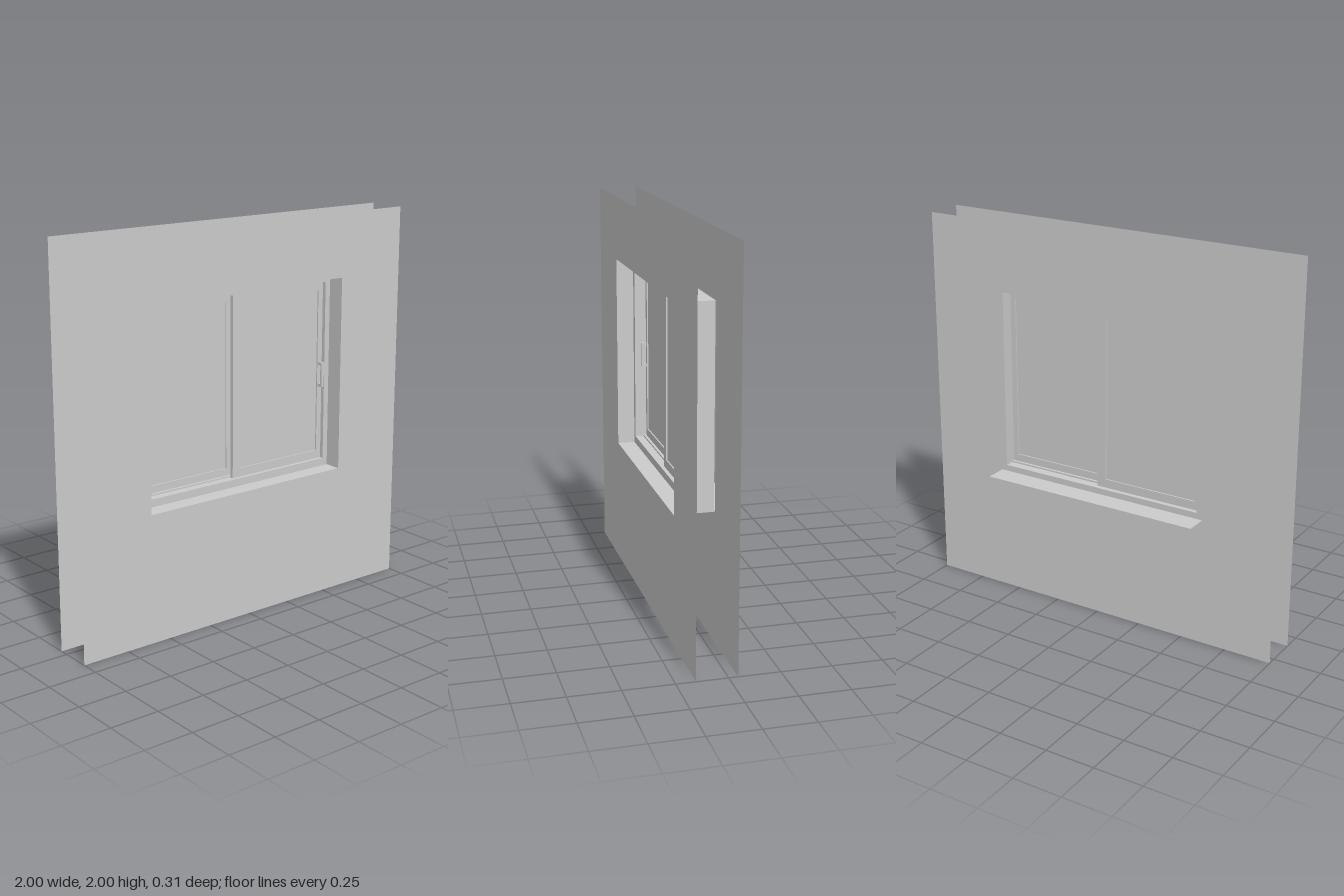
import * as THREE from 'three';

const grey = new THREE.MeshStandardMaterial({ color: 0xcccccc });
const greyThin = new THREE.MeshStandardMaterial({ color: 0xcccccc, side: THREE.DoubleSide });

// Wall opening
const X = 0.6, Y0 = 0.66, Y1 = 1.67;

function rectPoints(x0, x1, y0, y1) {
  return [[x0, y0], [x1, y0], [x1, y1], [x0, y1]].map(([x, y]) => new THREE.Vector2(x, y));
}

// Rectangle with a rectangular hole; each given as [x0, x1, y0, y1]
function ringShape(outer, inner) {
  const shape = new THREE.Shape(rectPoints(...outer));
  shape.holes.push(new THREE.Path(rectPoints(...inner)));
  return shape;
}

export function createModel() {
  const model = new THREE.Group();

  function add(name, geometry, material = grey, parent = model) {
    const mesh = new THREE.Mesh(geometry, material);
    mesh.name = name;
    parent.add(mesh);
    return mesh;
  }
  function ring(name, outer, inner, z0, z1, parent) {
    const geometry = new THREE.ExtrudeGeometry(ringShape(outer, inner), { depth: z1 - z0, bevelEnabled: false });
    return add(name, geometry.translate(0, 0, z0), grey, parent);
  }
  function box(name, x0, x1, y0, y1, z0, z1, parent) {
    const geometry = new THREE.BoxGeometry(x1 - x0, y1 - y0, z1 - z0);
    return add(name, geometry.translate((x0 + x1) / 2, (y0 + y1) / 2, (z0 + z1) / 2), grey, parent);
  }

  // Inner and outer wall skins
  const wall = ringShape([-1, 1, 0, 2], [-X, X, Y0, Y1]);
  for (const [name, z] of [['innerWall', 0.155], ['outerWall', -0.045]]) {
    add(name, new THREE.ShapeGeometry(wall), greyThin).position.z = z;
  }

  // Lining of the opening between inner wall and frame
  const lining = new THREE.Group();
  lining.name = 'lining';
  model.add(lining);
  const depth = 0.09, zMid = 0.11;
  for (const s of [-1, 1]) {
    const side = add('liningSide', new THREE.PlaneGeometry(depth, Y1 - Y0), greyThin, lining);
    side.rotation.y = -s * Math.PI / 2;
    side.position.set(s * X, (Y0 + Y1) / 2, zMid);
    const cap = add(s > 0 ? 'liningTop' : 'liningBottom', new THREE.PlaneGeometry(2 * X, depth), greyThin, lining);
    cap.rotation.x = s * Math.PI / 2;
    cap.position.set(0, s > 0 ? Y1 : Y0, zMid);
  }

  // Fixed frame with a guide rail between the two sash tracks
  ring('frame', [-X, X, Y0, Y1], [-0.57, 0.57, 0.7, 1.64], -0.04, 0.065);
  box('bottomRail', -0.57, 0.57, 0.7, 0.708, 0.008, 0.022);
  box('topRail', -0.57, 0.57, 1.632, 1.64, 0.008, 0.022);

  // Sliding sashes: glazed leaf with a bow handle on the outer stile
  function sash(name, outer, inner, z0, z1, handleX) {
    const group = new THREE.Group();
    group.name = name;
    model.add(group);
    ring('sashFrame', outer, inner, z0, z1, group);
    const zg = (z0 + z1) / 2;
    box('glass', inner[0], inner[1], inner[2], inner[3], zg - 0.003, zg + 0.003, group);

    const hx0 = handleX - 0.008, hx1 = handleX + 0.008;
    box('handleGrip', hx0, hx1, 1.09, 1.22, z1 + 0.018, z1 + 0.028, group);
    for (const y of [1.09, 1.205]) box('handleFoot', hx0, hx1, y, y + 0.015, z1, z1 + 0.02, group);
  }
  sash('rightSash', [-0.57, 0.02, 0.7, 1.64], [-0.545, -0.03, 0.745, 1.595], -0.015, 0.005, -0.56);
  sash('leftSash', [-0.02, 0.57, 0.7, 1.64], [0.025, 0.54, 0.745, 1.595], 0.025, 0.045, 0.553);

  // Outside sill
  box('sill', -X, X, 0.66, 0.668, -0.155, -0.04);

  return model;
}
